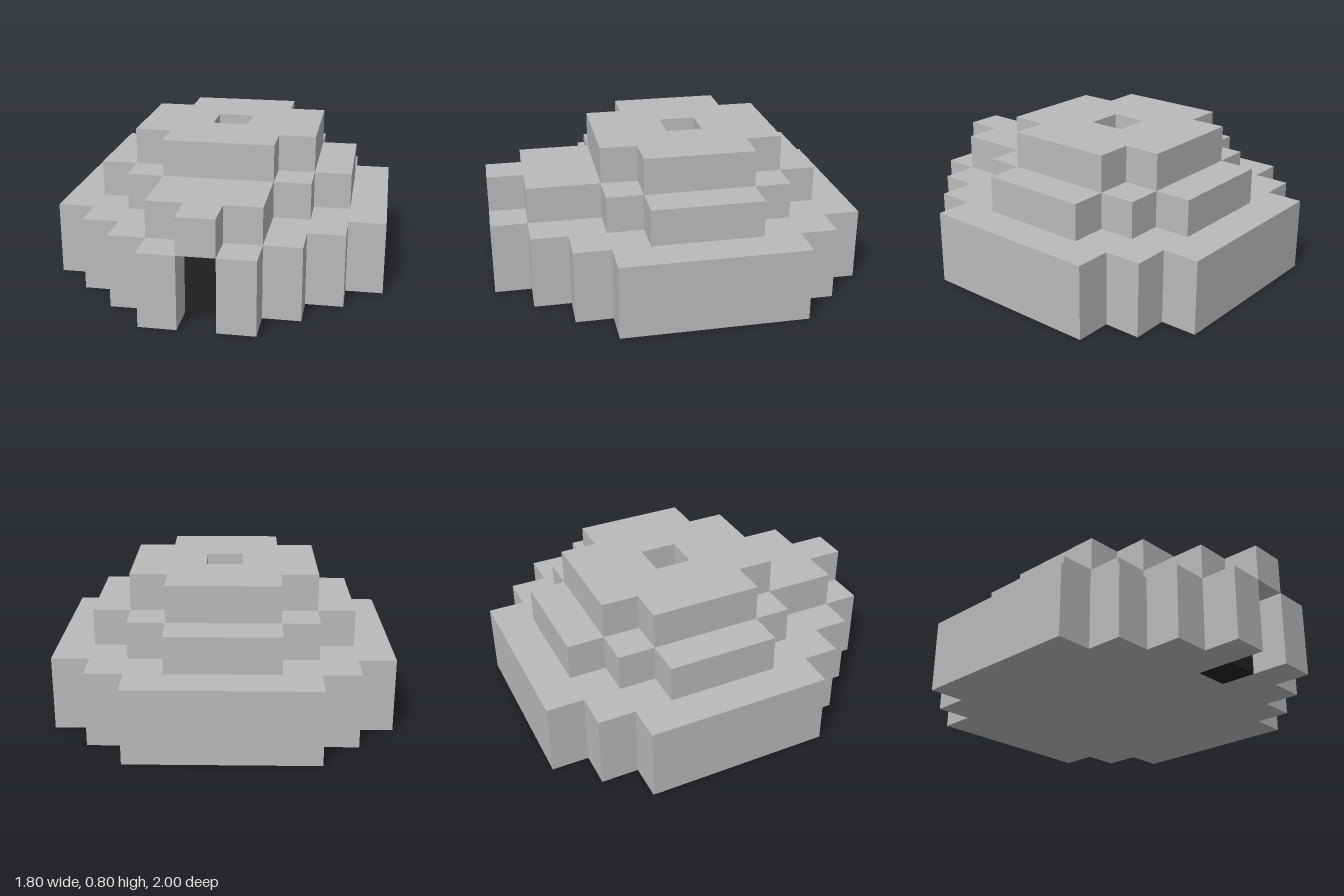
import * as THREE from 'three';

const CELL = 0.2;

// Stepped plan, mirrored in x. rows: [zBack, zFront, halfWidth] from back to front.
// notch: z to which a one-cell doorway is cut in from the front.
function steppedPlan(rows, notch) {
  const side = [];
  for (const [z0, z1, w] of rows) side.push([w, z0], [w, z1]);
  if (notch !== undefined) {
    const front = rows[rows.length - 1][1];
    side.push([CELL / 2, front], [CELL / 2, notch]);
  }
  const mirrored = side.map(([x, z]) => [-x, z]).reverse();
  return new THREE.Shape([...side, ...mirrored].map(([x, z]) => new THREE.Vector2(x, -z)));
}

// One-cell square opening, z from -0.2 to 0
function smokeOpening() {
  const h = CELL / 2;
  return new THREE.Path([[-h, 0], [h, 0], [h, CELL], [-h, CELL]].map(([x, y]) => new THREE.Vector2(x, y)));
}

export function createModel() {
  const model = new THREE.Group();
  model.name = 'blockHut';
  const block = new THREE.MeshStandardMaterial({ color: 0xbababa });
  block.name = 'paleGrey';
  const dark = new THREE.MeshStandardMaterial({ color: 0x222222 });
  dark.name = 'darkOpening';

  function addTier(name, shape, y, height) {
    const geo = new THREE.ExtrudeGeometry(shape, { depth: height, bevelEnabled: false });
    geo.rotateX(-Math.PI / 2);
    const mesh = new THREE.Mesh(geo, block);
    mesh.name = name;
    mesh.position.y = y;
    model.add(mesh);
  }

  function addDark(name, height, y, z) {
    const mesh = new THREE.Mesh(new THREE.BoxGeometry(CELL, height, CELL), dark);
    mesh.name = name;
    mesh.position.set(0, y + height / 2, z);
    model.add(mesh);
  }

  // Lower wall with the doorway cut into its porch
  addTier('lowerWall', steppedPlan([
    [-1, -0.8, 0.5], [-0.8, -0.6, 0.7], [-0.6, 0.4, 0.9],
    [0.4, 0.6, 0.7], [0.6, 0.8, 0.5], [0.8, 1, 0.3],
  ], 0.6), 0, 0.4);

  // Middle ring, running forward as the porch roof
  const middle = steppedPlan([
    [-0.8, -0.6, 0.3], [-0.6, -0.4, 0.5], [-0.4, 0.2, 0.7],
    [0.2, 0.4, 0.5], [0.4, 0.8, 0.3], [0.8, 1, 0.1],
  ]);
  middle.holes.push(smokeOpening());
  addTier('middleRingAndPorchRoof', middle, 0.4, 0.2);

  // Roof cap with smoke hole
  const cap = steppedPlan([[-0.6, -0.4, 0.3], [-0.4, 0.2, 0.5], [0.2, 0.4, 0.3]]);
  cap.holes.push(smokeOpening());
  addTier('roofCap', cap, 0.6, 0.2);

  // Dark blocks filling the openings
  addDark('doorway', 0.4, 0, 0.7);
  addDark('smokeHole', 0.2, 0.4, -0.1);

  return model;
}
